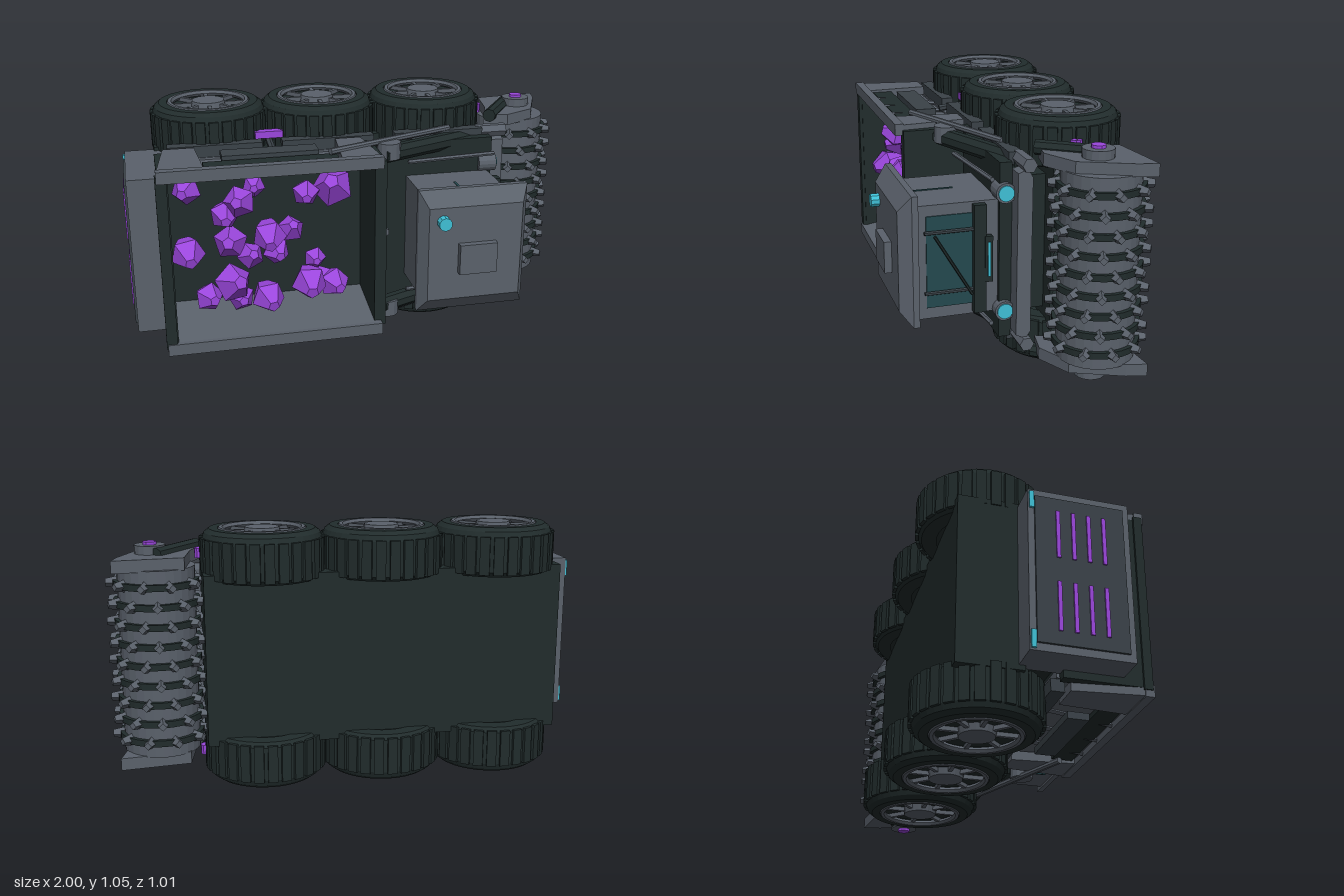
import * as THREE from 'three';

// A six-wheeled mining truck resting on its side: forward is +x, its roof faces +z, its width runs along y.
const MID = 0.523;
const mat = (name, color, extra = {}) => Object.assign(new THREE.MeshStandardMaterial({ color, flatShading: true, ...extra }), { name });

export function createModel() {
  const M = {
    grey: mat('steel grey', 0x5a616b), dark: mat('dark green black', 0x212c2c),
    mid: mat('dark steel', 0x3a4248), purple: mat('crystal purple', 0x9a46dc),
    cyan: mat('lamp cyan', 0x3fc0d6), glass: mat('teal glass', 0x24494f),
  };
  const root = new THREE.Group();
  root.name = 'miningTruck';

  const add = (name, geo, m, parent = root) => {
    const mesh = new THREE.Mesh(geo, m);
    mesh.name = name;
    parent.add(mesh);
    return mesh;
  };
  // Box from its limits; top scales the +z face for a taper
  const box = (name, m, x0, x1, y0, y1, z0, z1, tx = 1, ty = tx) => {
    const g = new THREE.BoxGeometry(x1 - x0, y1 - y0, z1 - z0);
    const p = g.attributes.position;
    for (let i = 0; i < p.count; i++) if (p.getZ(i) > 0) p.setXY(i, p.getX(i) * tx, p.getY(i) * ty);
    g.translate((x0 + x1) / 2, (y0 + y1) / 2, (z0 + z1) / 2);
    return add(name, g, m);
  };
  const pair = (fn) => [-1, 1].forEach((s) => fn(s));
  // Box on both flanks, a and b measured outwards from the middle
  const sideBoxes = (name, m, x0, x1, a, b, z0, z1) => pair((s) => {
    const y = MID + s * (a + b) / 2, h = (b - a) / 2;
    box(name, m, x0, x1, y - h, y + h, z0, z1);
  });
  const rod = (name, m, a, b, r, sides = 8) => {
    const p = new THREE.Vector3(...a), d = new THREE.Vector3(...b).sub(p);
    const mesh = add(name, new THREE.CylinderGeometry(r, r, d.length(), sides), m);
    mesh.position.copy(p).addScaledVector(d, 0.5);
    mesh.quaternion.setFromUnitVectors(new THREE.Vector3(0, 1, 0), d.normalize());
    return mesh;
  };
  const extrude = (pts, depth, basis) => {
    const shape = new THREE.Shape(pts.map((p) => new THREE.Vector2(...p)));
    return new THREE.ExtrudeGeometry(shape, { depth, bevelEnabled: false }).applyMatrix4(basis);
  };
  const v = (x, y, z) => new THREE.Vector3(x, y, z);
  const X = v(1, 0, 0), Y = v(0, 1, 0), Z = v(0, 0, 1);
  const alongX = new THREE.Matrix4().makeBasis(Y, Z, X), alongY = new THREE.Matrix4().makeBasis(Z, X, Y);
  // Plate outlined in (x, z) and spanning y0 to y1
  const plate = (name, m, pts, y0, y1) => add(name, extrude(pts.map(([x, z]) => [z, x]), y1 - y0, alongY).translate(0, y0, 0), m);
  // Bar outlined in (y, z) and spanning x0 to x1
  const bar = (name, m, pts, x0, x1) => add(name, extrude(pts, x1 - x0, alongX).translate(x0, 0, 0), m);

  // Chassis
  box('chassis', M.dark, -0.86, 0.62, 0.17, 0.875, -0.4, -0.14);
  [-0.61, -0.125, 0.37].forEach((x) => box('bedSupport', M.dark, x - 0.17, x + 0.17, 0.24, 0.81, -0.14, 0.01));
  box('cabBase', M.dark, 0.1, 0.6, 0.19, 0.86, -0.03, 0.07);

  // Wheels: tyre, tread lugs, rim, spokes and hub
  const tyre = [[0.17, -0.1], [0.23, -0.1], [0.245, -0.08], [0.245, 0.06], [0.235, 0.085], [0.215, 0.1], [0.18, 0.1], [0.17, 0.075], [0, 0.075]];
  const makeWheel = (x, s) => {
    const w = new THREE.Group();
    w.name = 'wheel';
    add('tyre', new THREE.LatheGeometry(tyre.map((p) => new THREE.Vector2(...p)), 40), M.dark, w);
    add('innerDisc', new THREE.CylinderGeometry(0.18, 0.18, 0.02, 32).translate(0, -0.085, 0), M.dark, w);
    add('rim', new THREE.TorusGeometry(0.168, 0.014, 6, 40).rotateX(Math.PI / 2).translate(0, 0.092, 0), M.grey, w);
    add('hub', new THREE.CylinderGeometry(0.07, 0.078, 0.035, 20).translate(0, 0.085, 0), M.grey, w);
    for (let i = 0; i < 8; i++)
      add('spoke', new THREE.BoxGeometry(0.1, 0.018, 0.016).translate(0.12, 0.083, 0).rotateY(i * Math.PI / 4), M.grey, w);
    for (let i = 0; i < 28; i++)
      add('treadLug', new THREE.BoxGeometry(0.014, 0.155, 0.04).translate(0.248, -0.012, 0).rotateY(i * Math.PI / 14), M.dark, w);
    w.position.set(x, MID + s * 0.42, -0.25);
    if (s < 0) w.rotation.x = Math.PI;
    root.add(w);
  };
  [-0.61, -0.125, 0.37].forEach((x) => pair((s) => {
    makeWheel(x, s);
    const y = MID + s * 0.37;
    box('fender', M.mid, x - 0.2, x + 0.2, y - 0.025, y + 0.025, -0.03, 0.025);
    rod('axle', M.dark, [x, MID, -0.25], [x, MID + s * 0.34, -0.25], 0.06, 12);
  }));

  // Dump bed: floor, flared sides, end walls and rims
  box('bedFloor', M.dark, -0.85, 0.04, 0.2, 0.85, 0.0, 0.04);
  box('bedHeadboard', M.dark, 0.01, 0.06, 0.155, 0.895, 0.0, 0.32);
  box('bedTailboard', M.dark, -0.865, -0.825, 0.16, 0.89, 0.0, 0.33);
  pair((s) => {
    const y = (d) => MID + s * d;
    bar('bedSide', M.grey, [[y(0.3), 0.02], [y(0.335), 0.02], [y(0.375), 0.33], [y(0.35), 0.33]], -0.85, 0.03);
    [[-0.87, -0.68, 1], [-0.13, 0.04, -1]].forEach(([a, b, k]) => {
      const pts = k > 0 ? [[a, 0.35], [a + 0.04, 0.04], [b - 0.02, 0.04], [b, 0.35]] : [[a, 0.35], [a + 0.03, 0.04], [b - 0.03, 0.04], [b, 0.35]];
      plate('bedColumn', M.grey, pts, y(0.375) - 0.02, y(0.375) + 0.02);
    });
    for (let i = 0; i < 3; i++) rod('bedRib', M.grey, [-0.54 + i * 0.16, y(0.345), 0.03], [-0.54 + i * 0.16, y(0.385), 0.33], 0.01, 4);
    box('sideLamp', M.purple, -0.43, -0.31, y(0.4) - 0.015, y(0.4) + 0.015, -0.1, -0.06);
    rod('lampBracket', M.mid, [-0.37, y(0.38), -0.15], [-0.37, y(0.36), 0.05], 0.015, 6);
  });
  sideBoxes('bedRim', M.grey, -0.87, 0.04, 0.35, 0.4, 0.315, 0.352);
  sideBoxes('bedPanel', M.dark, -0.68, -0.13, 0.365, 0.385, 0.21, 0.3);
  sideBoxes('bedStep', M.mid, -0.6, -0.2, 0.37, 0.4, 0.11, 0.2);
  sideBoxes('bedSill', M.grey, -0.82, 0.0, 0.31, 0.345, -0.01, 0.03);
  box('rearRim', M.dark, -0.875, -0.83, 0.15, 0.9, 0.31, 0.345);

  // Crystal load, positions as x, y, z, size
  const crystals = [
    [-0.75, 0.78, 0.17, 0.065], [-0.6, 0.67, 0.2, 0.065], [-0.54, 0.73, 0.22, 0.07], [-0.47, 0.77, 0.15, 0.05], [-0.26, 0.74, 0.2, 0.06],
    [-0.14, 0.75, 0.17, 0.09], [-0.76, 0.52, 0.22, 0.075], [-0.58, 0.54, 0.18, 0.075], [-0.5, 0.48, 0.2, 0.06], [-0.42, 0.57, 0.22, 0.075],
    [-0.32, 0.57, 0.16, 0.06], [-0.39, 0.49, 0.2, 0.06], [-0.22, 0.43, 0.17, 0.05], [-0.58, 0.37, 0.22, 0.085], [-0.25, 0.33, 0.2, 0.08],
    [-0.68, 0.29, 0.17, 0.065], [-0.54, 0.26, 0.14, 0.06], [-0.43, 0.28, 0.2, 0.075], [-0.13, 0.29, 0.14, 0.07], [-0.18, 0.3, 0.1, 0.06],
  ];
  crystals.forEach(([x, y, z, r], i) => {
    const c = add('crystal', new THREE.CylinderGeometry(r * 0.35, r, r, 5).translate(0, r / 2, 0), M.purple);
    add('crystalBase', new THREE.CylinderGeometry(r, r * 0.5, r, 5).translate(0, -r / 2, 0), M.purple, c);
    c.rotation.set(Math.PI / 2 + 0.35 * Math.sin(i * 2.3), i * 1.7, 0.35 * Math.cos(i * 1.9));
    c.position.set(x, y, z);
  });

  // Rear engine block with grilles and tail lamps
  box('engineBlock', M.grey, -0.985, -0.83, 0.19, 0.86, -0.165, 0.235);
  box('engineFace', M.mid, -0.994, -0.98, 0.22, 0.83, -0.14, 0.21);
  pair((s) => {
    for (let i = 0; i < 4; i++) box('grille', M.purple, -1.0, -0.992, MID + s * 0.15 - 0.1, MID + s * 0.15 + 0.1, -0.06 + i * 0.06, -0.045 + i * 0.06);
    box('tailLamp', M.cyan, -0.994, -0.984, MID + s * 0.29 - 0.035, MID + s * 0.29 + 0.035, -0.16, -0.142);
  });

  // Cab, roof, hatch and beacon
  box('cabBody', M.grey, 0.21, 0.58, 0.268, 0.737, 0.05, 0.41, 1.0);
  box('roofEdge', M.grey, 0.165, 0.63, 0.257, 0.793, 0.4, 0.425);
  box('roof', M.grey, 0.165, 0.63, 0.257, 0.793, 0.425, 0.475, 0.86, 0.76);
  box('hatch', M.grey, 0.325, 0.485, 0.44, 0.57, 0.47, 0.505);
  rod('beacon', M.cyan, [0.257, 0.67, 0.46], [0.257, 0.67, 0.51], 0.028, 10);
  box('windshield', M.glass, 0.575, 0.585, 0.315, 0.693, 0.125, 0.36);
  [0.265, 0.735].forEach((y) => box('sideSlit', M.glass, 0.385, 0.395, y - 0.005, y + 0.005, 0.2, 0.36));
  [0.38, 0.63].forEach((y) => rod('windowBar', M.mid, [0.595, y, 0.37], [0.595, y, 0.17], 0.008, 6));
  rod('wiper', M.dark, [0.6, 0.615, 0.33], [0.6, 0.36, 0.18], 0.006, 6);
  box('dashBar', M.dark, 0.56, 0.61, 0.28, 0.729, 0.125, 0.175);
  box('lampHousing', M.dark, 0.59, 0.615, 0.41, 0.6, 0.1, 0.132);
  box('lampStrip', M.cyan, 0.612, 0.62, 0.434, 0.577, 0.11, 0.12);
  rod('cabRearPost', M.grey, [0.085, 0.53, 0.05], [0.085, 0.53, 0.2], 0.02, 6);

  // Front rails, headlamps, bumper and lift arms
  sideBoxes('cabRail', M.dark, 0.1, 0.6, 0.32, 0.365, 0.02, 0.07);
  pair((s) => {
    const y = (d) => MID + s * d;
    rod('headlampRing', M.grey, [0.54, y(0.246), 0.05], [0.62, y(0.246), 0.05], 0.041, 16);
    rod('headlamp', M.cyan, [0.6, y(0.246), 0.05], [0.625, y(0.246), 0.05], 0.032, 16);
    rod('handRail', M.grey, [0.2, y(0.3), 0.14], [0.6, y(0.3), 0.1], 0.01, 6);
    rod('liftBeam', M.dark, [0.08, y(0.35), 0.17], [0.56, y(0.35), -0.03], 0.038, 8);
    rod('liftPivot', M.grey, [0.11, y(0.33), 0.15], [0.11, y(0.4), 0.15], 0.05, 14);
    rod('liftRod', M.grey, [-0.16, y(0.4), 0.235], [0.42, y(0.4), 0.0], 0.014, 8);
  });
  bar('bumper', M.grey, [[0.2, -0.04], [0.84, -0.04], [0.875, -0.02], [0.86, 0.02], [0.19, 0.02], [0.17, -0.02]], 0.6, 0.67);

  // Milling drum with toothed rings
  const drum = new THREE.Group();
  drum.name = 'drum';
  drum.position.set(0.8, MID, -0.26);
  root.add(drum);
  add('drumCore', new THREE.CylinderGeometry(0.155, 0.155, 0.76, 28), M.grey, drum);
  for (let r = 0; r < 9; r++) {
    const y = (r - 4) * 0.079;
    add('drumRing', new THREE.CylinderGeometry(0.172, 0.172, 0.026, 28).translate(0, y, 0), M.dark, drum);
    for (let i = 0; i < 10; i++) {
      const tooth = new THREE.CylinderGeometry(0.016, 0.028, 0.06, 4).rotateZ(-Math.PI / 2).translate(0.17, 0, 0);
      add('tooth', tooth.rotateY((i + (r % 2) / 2) * Math.PI / 5).translate(0, y, 0), M.grey, drum);
    }
  }

  // Drum arms with hubs and purple caps
  pair((s) => {
    const y = (d) => MID + s * d;
    plate('drumArm', M.grey, [[0.69, -0.38], [0.97, -0.41], [0.95, -0.33], [0.86, -0.13], [0.72, -0.06], [0.61, -0.08], [0.66, -0.2]], y(0.4) - 0.025, y(0.4) + 0.025);
    rod('armBrace', M.dark, [0.63, y(0.425), -0.06], [0.8, y(0.425), -0.3], 0.03, 8);
    rod('armHub', M.grey, [0.82, y(0.4), -0.235], [0.82, y(0.46), -0.235], 0.062, 16);
    rod('hubCap', M.purple, [0.82, y(0.45), -0.235], [0.82, y(0.472), -0.235], 0.028, 12);
    rod('armPin', M.purple, [0.62, y(0.4), -0.23], [0.62, y(0.44), -0.23], 0.025, 10);
    rod('armLink', M.grey, [0.55, y(0.37), -0.02], [0.69, y(0.37), -0.02], 0.03, 6);
  });
  return root;
}
